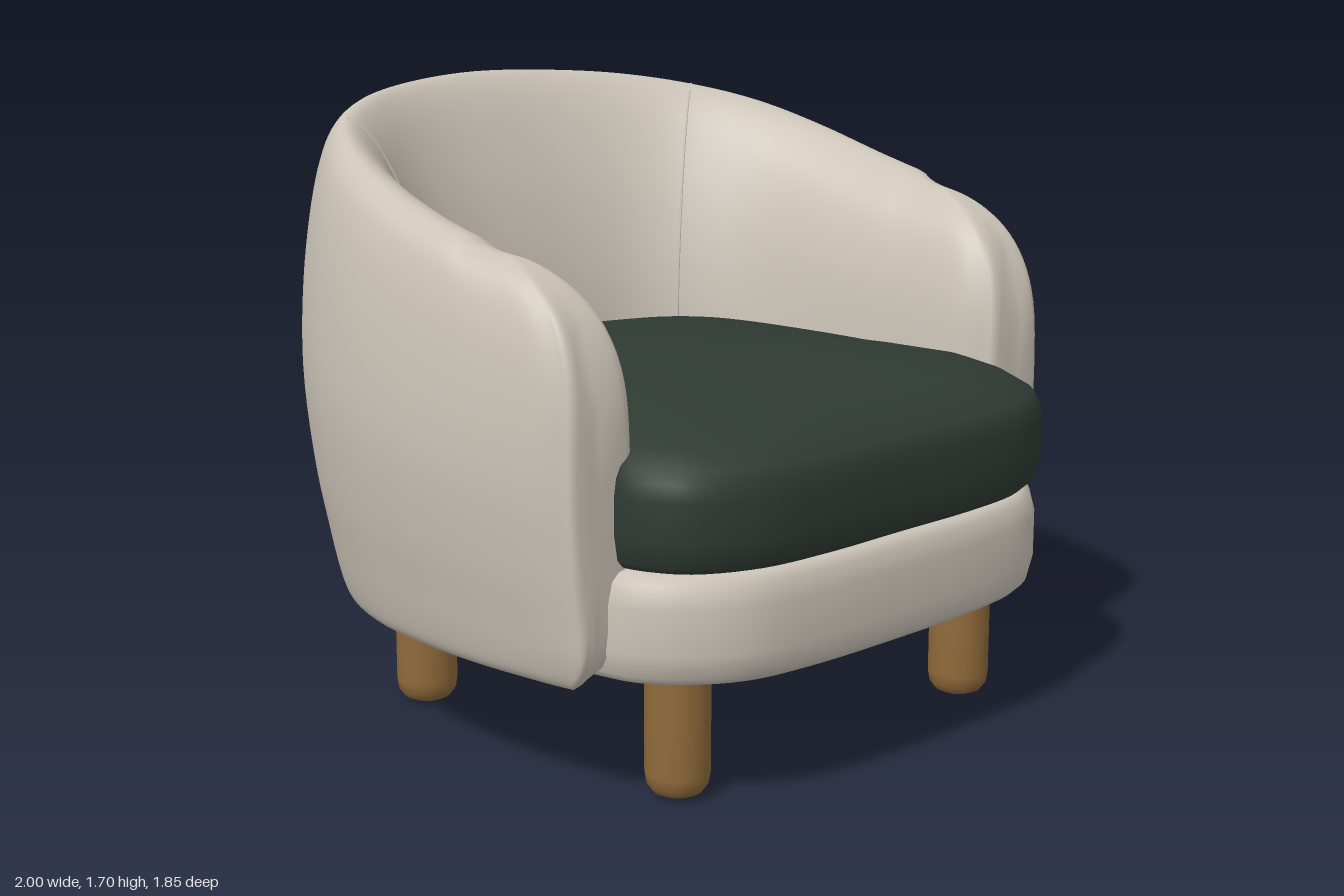
import * as THREE from 'three';
import { mergeVertices } from 'three/addons/utils/BufferGeometryUtils.js';

const V = (x, y, z) => new THREE.Vector3(x, y, z);
const { clamp, lerp, smoothstep } = THREE.MathUtils;

// Skin a list of closed rings; each ring is an array of Vector3
function loft(rings) {
  const n = rings[0].length, pos = [], idx = [];
  rings.forEach(r => r.forEach(p => pos.push(p.x, p.y, p.z)));
  for (let i = 0; i < rings.length - 1; i++) {
    for (let j = 0; j < n; j++) {
      const a = i * n + j, b = i * n + (j + 1) % n;
      idx.push(a, b, a + n, b, b + n, a + n);
    }
  }
  let g = new THREE.BufferGeometry();
  g.setAttribute('position', new THREE.Float32BufferAttribute(pos, 3));
  g.setIndex(idx);
  g = mergeVertices(g, 1e-5);
  g.computeVertexNormals();
  return g;
}

// Symmetric padded slab: half outline [x, z] from front to back, rings [scale, y]
function pad(half, cz, levels) {
  const other = half.slice(1, -1).reverse().map(([x, z]) => [-x, z]);
  const pts = [...half, ...other].map(([x, z]) => V(x, 0, z));
  const outline = new THREE.CatmullRomCurve3(pts, true).getPoints(120).slice(0, -1);
  return loft(levels.map(([s, y]) => outline.map(p => V(p.x * s, y, cz + (p.z - cz) * s))));
}

// Shell plan, front of arm to middle of back: outer x, z, inner x, z, top height
const PLAN = [
  [0.905, 0.60, 0.69, 0.60, 1.385], [0.935, 0.54, 0.655, 0.54, 1.388],
  [0.96, 0.44, 0.635, 0.44, 1.394], [0.99, 0.25, 0.62, 0.25, 1.415],
  [1.0, 0.05, 0.60, 0.05, 1.46], [0.975, -0.2, 0.57, -0.15, 1.53],
  [0.9, -0.42, 0.52, -0.28, 1.59], [0.765, -0.62, 0.44, -0.38, 1.635],
  [0.55, -0.78, 0.33, -0.45, 1.67], [0.29, -0.89, 0.18, -0.485, 1.69],
  [0, -0.925, 0, -0.495, 1.70],
];
const mirrored = [
  ...PLAN.map(([ox, oz, ix, iz, h]) => [-ox, oz, -ix, iz, h]),
  ...PLAN.slice(0, -1).reverse(),
];
const outer = new THREE.CatmullRomCurve3(mirrored.map(p => V(p[0], p[4], p[1])));
const inner = new THREE.CatmullRomCurve3(mirrored.map(p => V(p[2], 0, p[3])));

// Shell section: depth from inner to outer face at the back, height, depth at the arms
const SECTION = [
  [0.1, 0.04, 0.1], [0.4, 0.04, 0.4], [0.6, 0.015, 0.6], [0.68, 0, 0.68], [0.75, 0.02, 0.75],
  [0.80, 0.07, 0.80], [0.86, 0.16, 0.86], [0.94, 0.3, 0.94], [1, 0.5, 1], [0.98, 0.68, 0.98],
  [0.91, 0.84, 0.92], [0.83, 0.94, 0.84], [0.76, 0.985, 0.74], [0.68, 1, 0.62],
  [0.57, 0.975, 0.45], [0.41, 0.89, 0.22], [0.2, 0.73, 0.07], [0.06, 0.56, 0.02],
  [0.01, 0.4, 0], [0, 0.15, 0],
];
const section = new THREE.CatmullRomCurve3(SECTION.map(p => V(...p)), true)
  .getPoints(100).slice(0, -1);

// Place a section point on the shell at plan position t
function shellPoint(t, p) {
  const o = outer.getPoint(t), i = inner.getPoint(t);
  const f = lerp(p.z, p.x, smoothstep(Math.min(t, 1 - t), 0.15, 0.42));
  return V(i.x + (o.x - i.x) * f, 0.325 + (o.y - 0.325) * p.y, i.z + (o.z - i.z) * f);
}

// Round the front of the arms off towards the top and the bottom
function roundFront(p) {
  if (p.z < 0.2) return p;
  const top = clamp((p.y - 0.95) / 0.455, 0, 0.97);
  const bottom = clamp((0.45 - p.y) / 0.125, 0, 1);
  const k = Math.sqrt(1 - top ** 3) * (1 - 0.12 * bottom ** 2);
  return V(p.x, p.y, 0.2 + (p.z - 0.2) * k);
}

// Close an arm end with rounded, shrinking rings
function armEnd(ring) {
  const c = ring.reduce((a, p) => a.add(p), V(0, 0, 0)).divideScalar(ring.length);
  return [[0.97, 0.012], [0.9, 0.02], [0.75, 0.024], [0.4, 0.025], [0, 0.025]].map(([k, dz]) =>
    ring.map(p => V(lerp(c.x, p.x, k), lerp(c.y, p.y, k), p.z + dz)));
}

function shellGeometry() {
  const rings = [];
  for (let i = 0; i <= 120; i++) rings.push(section.map(p => shellPoint(i / 120, p)));
  const all = [...armEnd(rings[0]).reverse(), ...rings, ...armEnd(rings[120])];
  return loft(all.map(r => r.map(roundFront)));
}

export function createModel() {
  const fabric = new THREE.MeshStandardMaterial({ color: 0xcbc3b7 });
  fabric.name = 'cream fabric';
  const green = new THREE.MeshStandardMaterial({ color: 0x2f3a33 });
  green.name = 'dark green fabric';
  const wood = new THREE.MeshStandardMaterial({ color: 0x8f6a3a });
  wood.name = 'wood';

  const group = new THREE.Group();
  group.name = 'armchair';
  const add = (name, geometry, material) => {
    const m = new THREE.Mesh(geometry, material);
    m.name = name;
    group.add(m);
    return m;
  };

  // Wrap-around back and arms
  add('backAndArms', shellGeometry(), fabric);

  // Seams where the back meets each arm
  for (const [name, t] of [['rightSeam', 7 / 20], ['leftSeam', 13 / 20]]) {
    const pts = SECTION.slice(13, 19).map(p => shellPoint(t, V(...p)));
    add(name, new THREE.TubeGeometry(new THREE.CatmullRomCurve3(pts), 40, 0.004, 6), fabric);
  }

  // Upholstered base under the cushion
  add('seatBase', pad([
    [0, 0.925], [0.35, 0.915], [0.55, 0.88], [0.69, 0.79], [0.765, 0.69], [0.79, 0.6],
    [0.82, 0.45], [0.86, 0.2], [0.86, -0.1], [0.77, -0.41], [0.53, -0.67], [0.26, -0.77],
    [0, -0.8],
  ], 0.1, [
    [0, 0.342], [0.9, 0.342], [0.96, 0.348], [0.985, 0.37], [1, 0.43], [1, 0.55],
    [0.985, 0.605], [0.96, 0.625], [0.92, 0.632], [0, 0.635],
  ]), fabric);

  // Domed seat cushion, its back and sides tucked into the shell
  add('seatCushion', pad([
    [0, 0.92], [0.3, 0.92], [0.52, 0.895], [0.68, 0.815], [0.745, 0.72], [0.765, 0.64],
    [0.745, 0.55], [0.72, 0.4], [0.71, 0.15], [0.68, -0.12], [0.61, -0.36],
    [0.48, -0.52], [0.27, -0.62], [0, -0.65],
  ], 0.15, [
    [0, 0.625], [0.9, 0.625], [0.96, 0.635], [0.985, 0.655], [1, 0.72], [1, 0.82],
    [0.99, 0.865], [0.97, 0.893], [0.9, 0.932], [0.8, 0.965], [0.6, 1.0],
    [0.3, 1.025], [0.1, 1.03], [0, 1.03],
  ]), green);

  // Round wooden legs with softened feet
  const legProfile = [[0, 0], [0.04, 0.003], [0.065, 0.014], [0.08, 0.035], [0.085, 0.065],
    [0.085, 0.2], [0.085, 0.37]].map(([r, y]) => new THREE.Vector2(r, y));
  const legGeometry = new THREE.LatheGeometry(legProfile, 32);
  for (const [side, x] of [['Left', 0.56], ['Right', -0.56]]) {
    for (const [end, z] of [['front', 0.64], ['back', -0.368]]) {
      add(`${end}${side}Leg`, legGeometry, wood).position.set(x, 0, z);
    }
  }
  return group;
}
